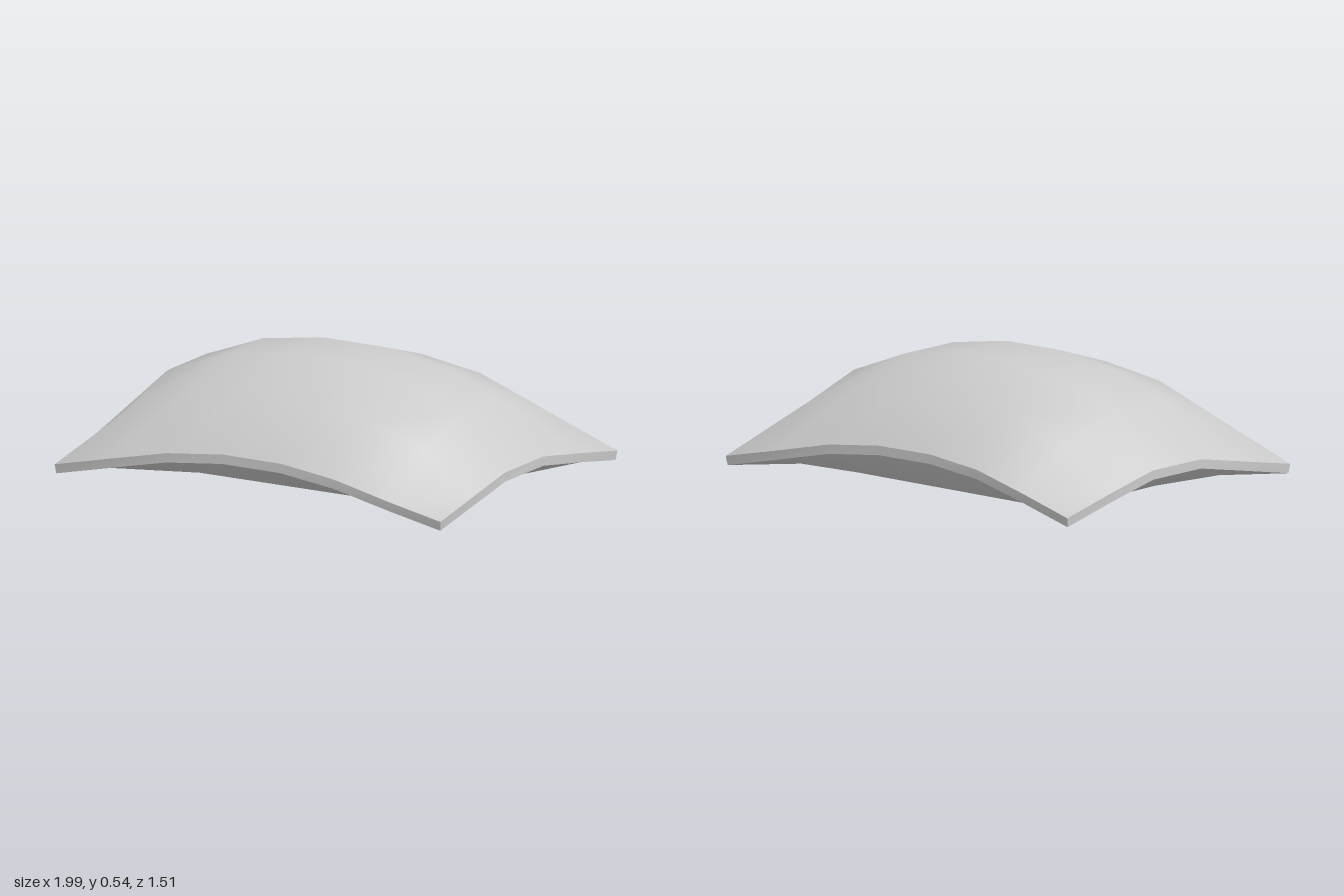
import * as THREE from 'three';

// One quarter of the cushion top, rows from the front/back rim to the middle,
// columns from the side rim to the middle.
const X = [[0.993, 0.72, 0.43, 0.15], [0.983, 0.75, 0.46, 0.155], [0.975, 0.76, 0.47, 0.16]];
const Z = [[0.747, 0.73, 0.712, 0.7], [0.455, 0.475, 0.475, 0.475], [0.16, 0.165, 0.165, 0.165]];
const Y = [[0.046, 0.105, 0.168, 0.198], [0.1, 0.285, 0.39, 0.435], [0.153, 0.377, 0.488, 0.536]];
const COLS = 8, ROWS = 6, RIM = 0.042;

const fold = (k, count) => Math.min(k, count - 1 - k);
const side = (k, count) => (k < count / 2 ? -1 : 1);

// Mirror the quarter; the raised part leans slightly left and forward
function topPoint(i, j) {
  const c = fold(i, COLS), r = fold(j, ROWS);
  const x = X[r][c] * side(i, COLS), z = Z[r][c] * side(j, ROWS);
  const lift = Math.min(1, (Y[r][c] - 0.046) * 10);
  const tilt = (0.003 + 0.008 * lift) * (x + z);
  return new THREE.Vector3(x - 0.006 * z, Y[r][c] - tilt, z - 0.006 * x + 0.01 * lift);
}

// The underside drops from the arched rim to a flat base
function bottomPoint(i, j) {
  const c = fold(i, COLS), r = fold(j, ROWS);
  if (c === 0 || r === 0) {
    const p = topPoint(i, j);
    const flare = 0.05 * (Y[r][c] - 0.1);
    return new THREE.Vector3(p.x * (0.998 + flare), p.y - RIM, p.z * (0.996 + flare * 2));
  }
  const x = [0, 0.73, 0.45, 0.15][c] * side(i, COLS);
  const z = j < ROWS / 2 ? [0, -0.5, -0.16][r] : [0, 0.42, 0.15][r];
  return new THREE.Vector3(x, 0.008 - 0.004 * (x + z), z);
}

// Grid of quads with smooth normals
function grid(cols, rows, point, flip) {
  const pos = [], index = [];
  for (let j = 0; j < rows; j++)
    for (let i = 0; i < cols; i++) pos.push(...point(i, j).toArray());
  for (let j = 0; j < rows - 1; j++)
    for (let i = 0; i < cols - 1; i++) {
      const a = j * cols + i, b = a + cols, c = b + 1, d = a + 1;
      if (flip) index.push(a, d, b, d, c, b);
      else index.push(a, b, d, b, c, d);
    }
  const g = new THREE.BufferGeometry();
  g.setAttribute('position', new THREE.Float32BufferAttribute(pos, 3));
  g.setIndex(index);
  g.computeVertexNormals();
  return g;
}

export function createModel() {
  const model = new THREE.Group();
  model.name = 'cushion';
  const material = new THREE.MeshStandardMaterial({ color: 0xcccccc });
  const add = (name, geometry) => {
    const mesh = new THREE.Mesh(geometry, material);
    mesh.name = name;
    model.add(mesh);
  };

  // Domed top and flat underside
  add('domedTop', grid(COLS, ROWS, topPoint, false));
  add('underside', grid(COLS, ROWS, bottomPoint, true));

  // Thin rim along each of the four sides
  const edges = {
    frontRim: [COLS, i => [i, ROWS - 1]],
    rightRim: [ROWS, j => [0, j]],
    backRim: [COLS, i => [COLS - 1 - i, 0]],
    leftRim: [ROWS, j => [COLS - 1, ROWS - 1 - j]],
  };
  for (const [name, [count, at]] of Object.entries(edges))
    add(name, grid(count, 2, (k, s) => (s ? bottomPoint : topPoint)(...at(k)), false));

  return model;
}
